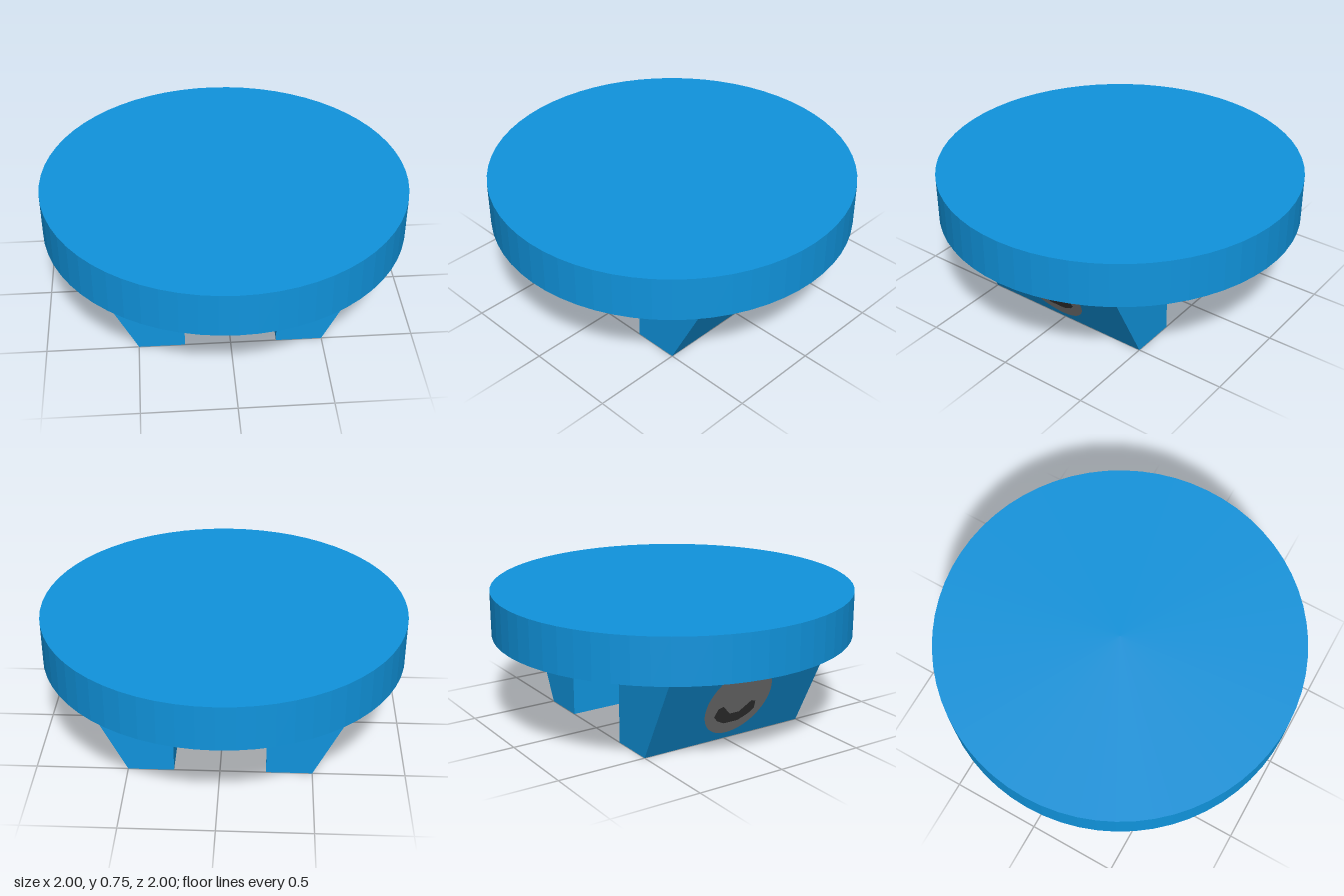
import * as THREE from 'three';

const blue = new THREE.MeshStandardMaterial({ name: 'blue', color: 0x1094dd });
const grey = new THREE.MeshStandardMaterial({ name: 'grey', color: 0x848484 });
const dark = new THREE.MeshStandardMaterial({ name: 'charcoal', color: 0x393939 });
blue.flatShading = true;

function part(name, geometry, material) {
  const mesh = new THREE.Mesh(geometry, material);
  mesh.name = name;
  return mesh;
}

function polygon(points) {
  return new THREE.Shape(points.map(([x, y]) => new THREE.Vector2(x, y)));
}

// Lays a flat shape (u across, v up) on a side face of the +x leg.
function onFace(shape, outer, lift) {
  const geometry = new THREE.ShapeGeometry(shape, 32);
  const p = geometry.attributes.position;
  for (let i = 0; i < p.count; i++) {
    const u = p.getX(i), v = p.getY(i);
    if (outer) p.setXYZ(i, 0.5 + v / 2 + lift, v, -u);
    else p.setXYZ(i, 0.25 - lift, v, u);
  }
  geometry.computeVertexNormals();
  return geometry;
}

// Leg with a sloping outer face and a painted disc on both sides
function makeLeg(name) {
  const leg = new THREE.Group();
  leg.name = name;
  const profile = polygon([[0.25, 0], [0.5, 0], [0.75, 0.5], [0.25, 0.5]]);
  const block = new THREE.ExtrudeGeometry(profile, { depth: 1, bevelEnabled: false });
  block.translate(0, 0, -0.5);
  leg.add(part('legBlock', block, blue));

  const disc = new THREE.Shape().absellipse(0, 0.252, 0.202, 0.212, 0, Math.PI * 2, false);
  const curve = polygon([
    [-0.12, 0.225], [-0.13, 0.175], [-0.1, 0.142], [-0.045, 0.113], [0.045, 0.113], [0.1, 0.142],
    [0.13, 0.175], [0.12, 0.225], [0.09, 0.235], [0.03, 0.175], [-0.03, 0.175], [-0.09, 0.235],
  ]);
  for (const outer of [true, false]) {
    const side = outer ? 'outer' : 'inner';
    leg.add(part(side + 'Disc', onFace(disc, outer, 0.003), grey));
    leg.add(part(side + 'Curve', onFace(curve, outer, 0.006), dark));
  }
  return leg;
}

export function createModel() {
  const model = new THREE.Group();
  model.name = 'roundTable';

  // Round top
  const top = part('tableTop', new THREE.CylinderGeometry(1, 1, 0.25, 64), blue);
  top.position.y = 0.625;
  model.add(top);

  // Two legs, the second turned half round
  const leftLeg = makeLeg('leftLeg');
  const rightLeg = makeLeg('rightLeg');
  rightLeg.rotation.y = Math.PI;
  model.add(leftLeg, rightLeg);
  return model;
}
